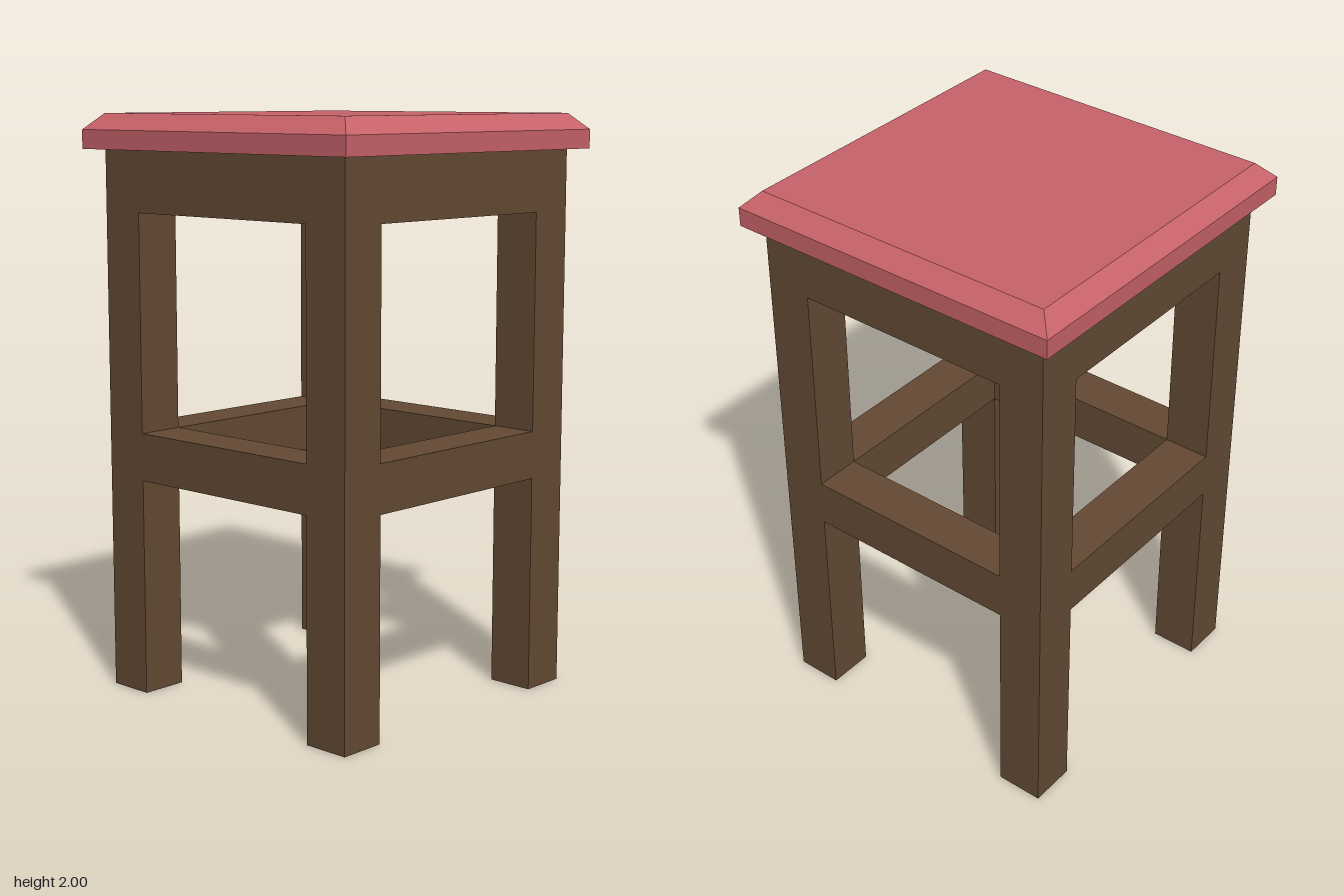
import * as THREE from 'three';

const HALF = 0.555;          // half width of the frame
const LEG = 0.165;           // square section of legs and rails
const APRON_BOTTOM = 1.67, SEAT_BOTTOM = 1.88;
const RAIL_BOTTOM = 0.755, RAIL_TOP = 0.92;

export function createModel() {
  const stool = new THREE.Group();
  stool.name = 'stool';
  const wood = new THREE.MeshStandardMaterial({ color: 0x644a34 });
  const cushion = new THREE.MeshStandardMaterial({ color: 0xc8636a, flatShading: true });

  // Box standing between two heights
  const block = (name, w, d, y0, y1, x = 0, z = 0) => {
    const mesh = new THREE.Mesh(new THREE.BoxGeometry(w, y1 - y0, d), wood);
    mesh.position.set(x, (y0 + y1) / 2, z);
    mesh.name = name;
    stool.add(mesh);
  };

  const c = HALF - LEG / 2;            // leg centre line
  const span = 2 * (HALF - LEG);       // clear gap between legs

  // Four square legs
  for (const [sx, side] of [[1, 'Left'], [-1, 'Right']])
    for (const [sz, end] of [[1, 'front'], [-1, 'back']])
      block(`${end}${side}Leg`, LEG, LEG, 0, APRON_BOTTOM, sx * c, sz * c);

  // Rails flush with the legs on all four sides
  block('frontRail', span, LEG, RAIL_BOTTOM, RAIL_TOP, 0, c);
  block('backRail', span, LEG, RAIL_BOTTOM, RAIL_TOP, 0, -c);
  block('leftRail', LEG, span, RAIL_BOTTOM, RAIL_TOP, c, 0);
  block('rightRail', LEG, span, RAIL_BOTTOM, RAIL_TOP, -c, 0);

  // Solid apron under the seat
  block('apron', 2 * HALF, 2 * HALF, APRON_BOTTOM, SEAT_BOTTOM);

  // Square seat with a bevelled upper edge: a four-sided lathe
  const profile = [[0, SEAT_BOTTOM], [0.61, SEAT_BOTTOM], [0.61, 1.945], [HALF, 2], [0, 2]]
    .map(([r, y]) => new THREE.Vector2(r * Math.SQRT2, y));
  const seat = new THREE.Mesh(new THREE.LatheGeometry(profile, 4, Math.PI / 4), cushion);
  seat.name = 'seat';
  stool.add(seat);

  return stool;
}
